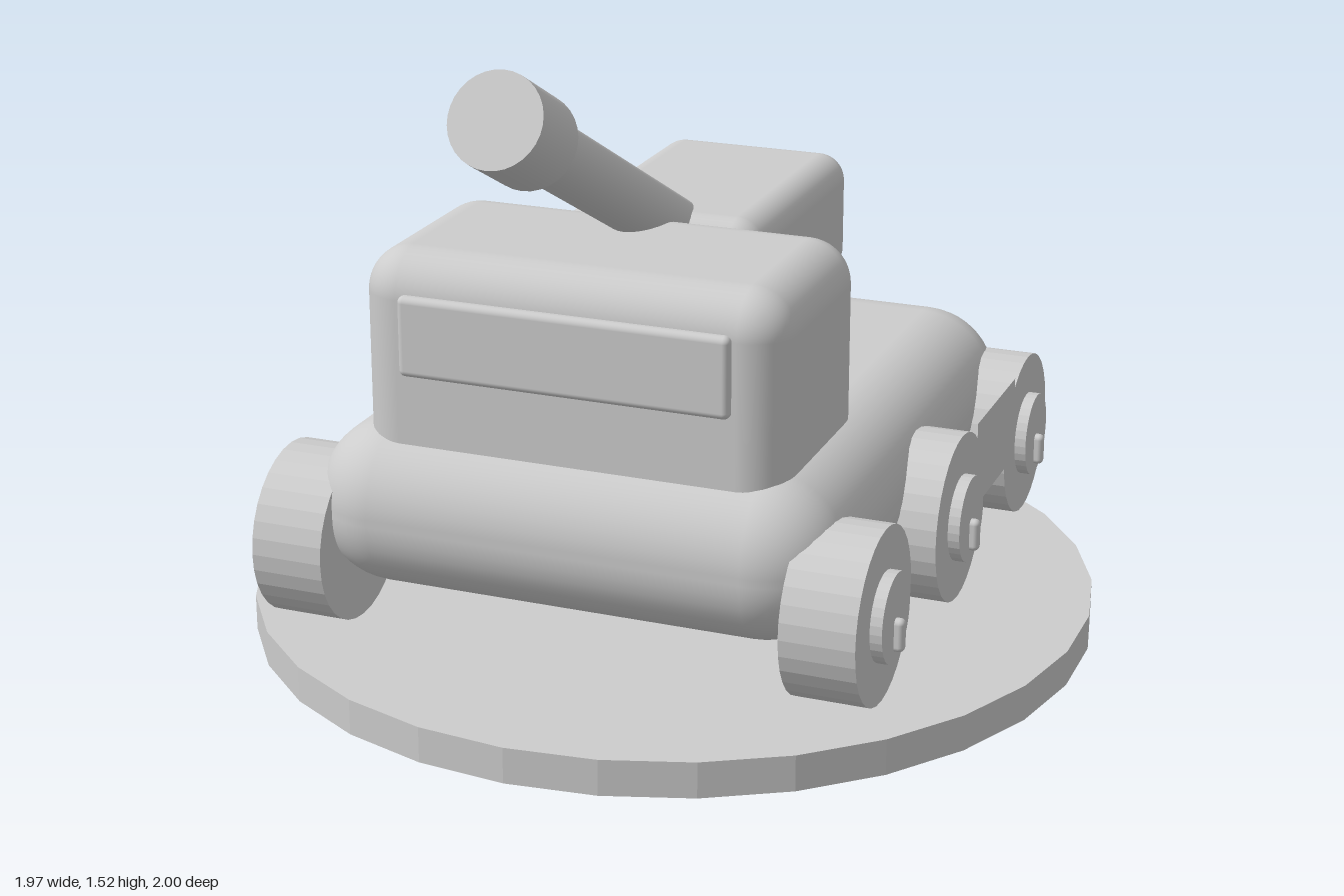
import * as THREE from 'three';
import { RoundedBoxGeometry } from 'three/addons/geometries/RoundedBoxGeometry.js';

const make = (color, extra = {}) => new THREE.MeshStandardMaterial({ color, ...extra });

export function createModel() {
  const model = new THREE.Group();
  model.name = 'toyTank';
  const grey = make(0xcccccc);
  grey.name = 'light grey';
  const facetedGrey = make(0xcccccc, { flatShading: true });
  facetedGrey.name = 'light grey faceted';
  const sheetGrey = make(0xcccccc, { side: THREE.DoubleSide });
  sheetGrey.name = 'light grey sheet';

  const add = (name, geometry, material, position, parent = model) => {
    const mesh = new THREE.Mesh(geometry, material);
    mesh.name = name;
    mesh.position.set(...position);
    parent.add(mesh);
    return mesh;
  };

  // Rounded box given by its minimum and maximum corners
  const roundedBox = (name, min, max, radius, parent) => {
    const size = max.map((v, i) => v - min[i]);
    const centre = max.map((v, i) => (v + min[i]) / 2);
    return add(name, new RoundedBoxGeometry(...size, 6, radius), grey, centre, parent);
  };

  // Display base
  add('base', new THREE.CylinderGeometry(0.99, 0.99, 0.083, 30), facetedGrey, [0, 0.0415, -0.01]);

  // Hull, cabin and turret
  roundedBox('hull', [-0.612, 0.235, -0.76], [0.612, 0.612, 0.732], 0.18);
  roundedBox('cabin', [-0.49, 0.4, 0.105], [0.49, 1.015, 0.643], 0.1);
  roundedBox('frontPanel', [-0.38, 0.748, 0.56], [0.38, 0.93, 0.662], 0.015);
  roundedBox('turret', [-0.237, 0.697, -0.59], [0.237, 0.997, 0.105], 0.065);

  // Cannon, built along +z and tilted upwards about its muzzle
  const cannon = new THREE.Group();
  cannon.name = 'cannon';
  cannon.position.set(0, 1.428, 0.955);
  cannon.rotation.x = -THREE.MathUtils.degToRad(27);
  model.add(cannon);
  const tube = (name, radius, length, endZ) => {
    const geometry = new THREE.CylinderGeometry(radius, radius, length, 32).rotateX(Math.PI / 2);
    add(name, geometry, grey, [0, 0, endZ - length / 2], cannon);
  };
  tube('muzzle', 0.102, 0.19, 0);
  tube('barrel', 0.071, 1.1, -0.1);

  // Three wheels on each side, with hub and axle key
  const disc = (radius, width) =>
    new THREE.CylinderGeometry(radius, radius, width, 32).rotateZ(Math.PI / 2);
  for (const side of [1, -1]) {
    for (const z of [0.57, -0.01, -0.59]) {
      const wheel = new THREE.Group();
      wheel.name = side > 0 ? 'leftWheel' : 'rightWheel';
      wheel.position.set(0, 0.325, z);
      model.add(wheel);
      add('tyre', disc(0.196, 0.168), facetedGrey, [side * 0.614, 0, 0], wheel);
      add('hub', disc(0.1, 0.1), facetedGrey, [side * 0.675, 0, 0], wheel);
      add('axleKey', new RoundedBoxGeometry(0.06, 0.075, 0.028, 3, 0.012), grey,
        [side * 0.716, -0.038, 0], wheel);
    }
  }

  // Thin side plate
  add('sidePlate', new THREE.PlaneGeometry(0.32, 0.2).rotateY(Math.PI / 2), sheetGrey,
    [0.745, 0.474, -0.125]);

  return model;
}
